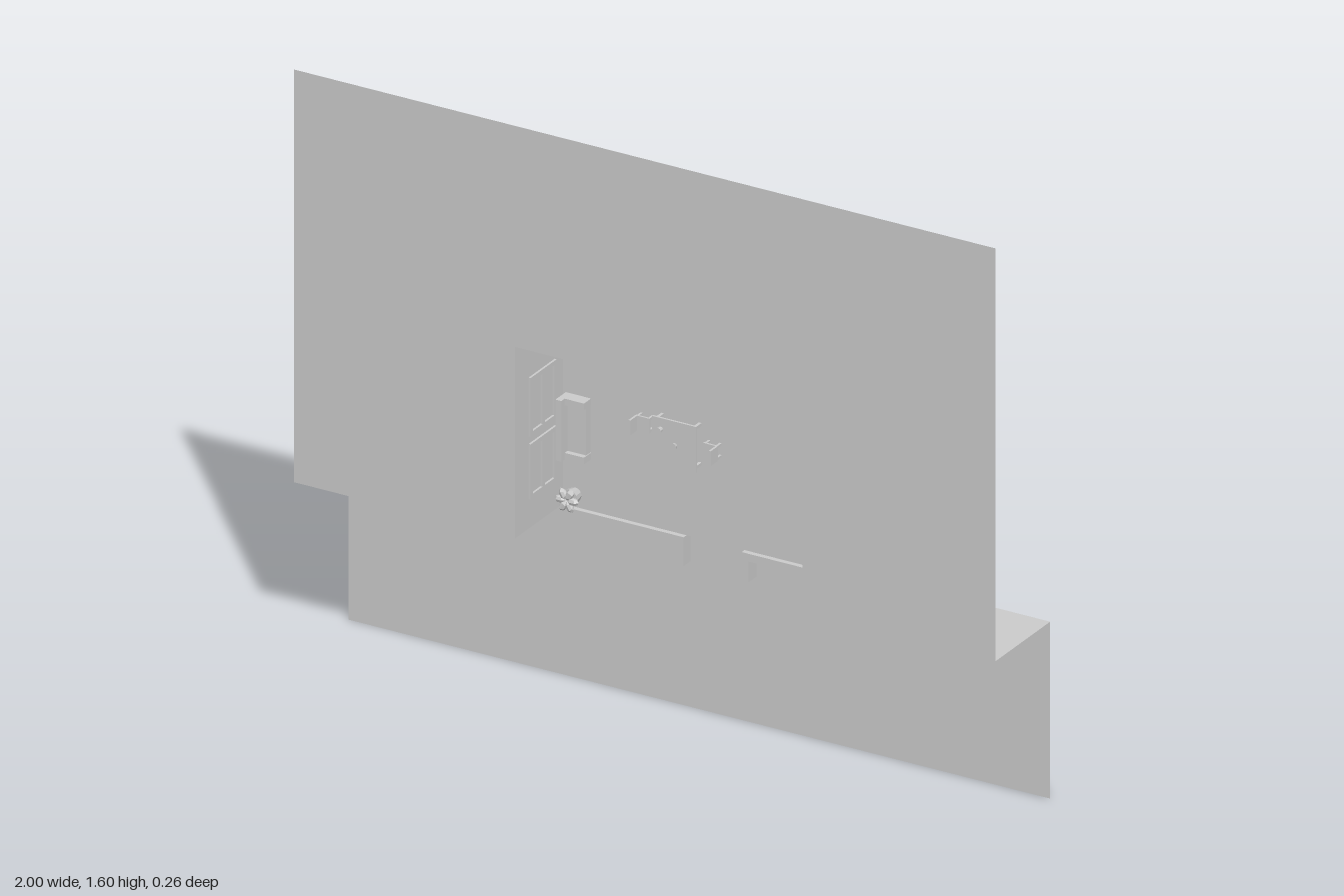
import * as THREE from 'three';

export function createModel() {
  const model = new THREE.Group();
  model.name = 'roomModel';
  const plaster = new THREE.MeshStandardMaterial({ color: 0xcccccc, side: THREE.DoubleSide, flatShading: true });
  plaster.name = 'lightGrey';

  const add = (name, geo, parent = model) => {
    const mesh = new THREE.Mesh(geo, plaster);
    mesh.name = name;
    parent.add(mesh);
    return mesh;
  };
  // box given by its limits on each axis
  const box = (name, x0, x1, y0, y1, z0, z1, parent) => {
    const geo = new THREE.BoxGeometry(x1 - x0, y1 - y0, z1 - z0);
    geo.translate((x0 + x1) / 2, (y0 + y1) / 2, (z0 + z1) / 2);
    return add(name, geo, parent);
  };
  const outline = pts => new THREE.Shape(pts.map(p => new THREE.Vector2(...p)));
  const sheet = (name, pts, z) => {
    const geo = new THREE.ShapeGeometry(outline(pts));
    geo.translate(0, 0, z);
    return add(name, geo);
  };
  // cylinder standing out of the floor along z
  const drum = (name, x, y, r0, r1, z0, z1, sides, parent) => {
    const geo = new THREE.CylinderGeometry(r1, r0, z1 - z0, sides);
    geo.rotateX(Math.PI / 2);
    geo.translate(x, y, (z0 + z1) / 2);
    return add(name, geo, parent);
  };

  const L = -0.37, R = 0.45, OL = -0.415, OR = 0.49, F = -0.1;

  // large sheets: upper one open around the room, lower one set back
  sheet('upperSheet', [[-1, 0.48], [L, 0.48], [L, 1], [R, 1], [R, 0.48], [1, 0.48], [1, 1.6], [-1, 1.6]], 0.131);
  sheet('lowerSheet', [[-1, 0], [1, 0], [1, 0.48], [-1, 0.48]], -0.131);
  for (const [x0, x1] of [[-1, OL], [OR, 1]]) {
    const geo = new THREE.PlaneGeometry(x1 - x0, 0.262);
    geo.rotateX(-Math.PI / 2);
    geo.translate((x0 + x1) / 2, 0.48, 0);
    add('ledge', geo);
  }

  // floor with a rippled edge beside the hump
  sheet('floorSheet', [[OL, 0.48], [OR, 0.48], [OR, 1.04], [0.37, 1.04], [0.345, 1.03], [0.32, 1.0],
    [0.295, 1.07], [0.27, 1.09], [0.245, 1.07], [0.213, 1.0], [0.19, 1.03], [0.17, 1.04], [OL, 1.04]], -0.107);
  box('floor', L, R, 0.48, 1, -0.106, F);
  box('doorFloor', -0.02, 0.145, 0.4, 0.48, -0.13, -0.122);

  // hump narrowing towards the front
  const hump = new THREE.ExtrudeGeometry(outline([[0.2, 1], [0.325, 1], [0.3, 1.07], [0.28, 1.09],
    [0.25, 1.085], [0.23, 1.06]]), { depth: 0.07, bevelEnabled: false });
  const p = hump.attributes.position;
  for (let i = 0; i < p.count; i++) {
    if (p.getZ(i) > 0.03) p.setXYZ(i, 0.265 + (p.getX(i) - 0.265) * 0.7, 1 + (p.getY(i) - 1) * 0.9, p.getZ(i));
  }
  hump.translate(0, 0, -0.106);
  hump.computeVertexNormals();
  add('hump', hump);

  // room walls, outer rim and its feet
  box('leftWall', L - 0.004, L, 0.48, 1, -0.106, 0.13);
  box('rightWall', R, R + 0.004, 0.48, 1, -0.106, 0.13);
  box('topWall', L, R, 1, 1.004, -0.106, 0.13);
  box('rimTop', OL, OR, 1.004, 1.04, 0.1, 0.13);
  box('rimLeft', OL, L - 0.004, 0.48, 1.004, 0.1, 0.13);
  box('rimRight', R + 0.004, OR, 0.48, 1.004, 0.1, 0.13);
  box('footLeft', OL, L - 0.004, 0.48, 0.497, -0.09, 0.1);
  box('footRight', R + 0.004, OR, 0.48, 0.497, -0.09, 0.1);

  // low curb turning down at both sides of the doorway
  box('curbLeft', OL, -0.02, 0.457, 0.478, -0.13, -0.09);
  box('curbRight', 0.145, OR, 0.457, 0.478, -0.13, -0.09);
  box('doorPostLeft', -0.037, -0.02, 0.4, 0.457, -0.13, -0.09);
  box('doorPostRight', 0.145, 0.164, 0.4, 0.457, -0.13, -0.09);

  // framed windows on both side walls
  for (const [wall, s] of [[L, 1], [R, -1]]) {
    for (const [y0, y1] of [[0.56, 0.71], [0.73, 0.89]]) {
      const g = new THREE.Group();
      g.name = 'window';
      model.add(g);
      const bar = (a, b, z0, z1) => box('windowBar', Math.min(wall, wall + s * 0.006),
        Math.max(wall, wall + s * 0.006), a, b, z0, z1, g);
      bar(y0, y0 + 0.012, -0.06, 0.065);
      bar(y1 - 0.012, y1, -0.06, 0.065);
      for (const z of [-0.06, -0.003, 0.054]) bar(y0 + 0.012, y1 - 0.012, z, z + 0.011);
    }
  }

  // table with two small things on it
  const table = new THREE.Group();
  table.name = 'table';
  model.add(table);
  box('tableTop', -0.095, 0.03, 0.675, 0.8, -0.07, -0.064, table);
  for (const x of [-0.09, 0.017]) for (const y of [0.68, 0.787])
    box('tableLeg', x, x + 0.008, y, y + 0.008, F, -0.07, table);
  drum('cup', -0.07, 0.77, 0.007, 0.009, -0.064, -0.05, 10, table);
  drum('bowl', -0.03, 0.735, 0.007, 0.01, -0.064, -0.054, 10, table);

  // chairs facing the table; s points to the chair back
  for (const [x, y, s] of [[-0.13, 0.763, -1], [0.063, 0.735, 1]]) {
    const g = new THREE.Group();
    g.name = 'chair';
    model.add(g);
    box('chairSeat', x - 0.02, x + 0.02, y - 0.02, y + 0.02, -0.082, -0.077, g);
    const b = x + s * 0.018;
    box('chairBack', b - 0.003, b + 0.003, y - 0.02, y + 0.02, -0.077, -0.045, g);
    for (const dx of [-0.016, 0.016]) for (const dy of [-0.016, 0.016])
      box('chairLeg', x + dx - 0.003, x + dx + 0.003, y + dy - 0.003, y + dy + 0.003, F, -0.082, g);
  }

  // sofa along the left wall
  const sofa = new THREE.Group();
  sofa.name = 'sofa';
  model.add(sofa);
  box('sofaSeat', -0.345, -0.292, 0.638, 0.767, F, -0.08, sofa);
  box('sofaBack', -0.362, -0.345, 0.62, 0.785, F, -0.05, sofa);
  for (const y of [0.62, 0.767]) box('sofaArm', -0.345, -0.29, y, y + 0.018, F, -0.066, sofa);

  // potted plant
  const plant = new THREE.Group();
  plant.name = 'plant';
  model.add(plant);
  drum('pot', -0.335, 0.515, 0.018, 0.024, F, -0.07, 12, plant);
  for (let i = 0; i < 6; i++) {
    const a = i * Math.PI / 3;
    const leaf = add('leaf', new THREE.SphereGeometry(0.017, 6, 4), plant);
    leaf.scale.set(1, 0.6, 0.6);
    leaf.rotation.z = a;
    leaf.position.set(-0.335 + 0.018 * Math.cos(a), 0.515 + 0.018 * Math.sin(a), -0.058);
  }

  // kitchen counter, sink and stove rings
  box('counter', -0.36, -0.245, 0.93, 0.985, F, -0.065);
  box('sideCounter', -0.24, -0.185, 0.945, 0.985, F, -0.07);
  box('sink', -0.345, -0.305, 0.945, 0.97, -0.065, -0.062);
  for (const x of [-0.285, -0.262]) for (const y of [0.945, 0.97]) drum('stoveRing', x, y, 0.009, 0.009, -0.065, -0.062, 12);
  drum('stool', -0.08, 0.97, 0.015, 0.015, F, -0.07, 16);

  // cabinet with ornaments, shelf on the top wall and the three right-hand units
  box('cabinet', -0.045, 0.11, 0.955, 0.998, F, -0.075);
  for (const x of [0.0, 0.03, 0.065]) box('ornament', x - 0.008, x + 0.008, 0.97, 0.985, -0.075, -0.062);
  box('wallShelf', 0.135, 0.18, 0.992, 1, -0.04, 0.02);
  for (const [y0, y1, z] of [[0.55, 0.625, -0.08], [0.645, 0.77, -0.075], [0.79, 0.865, -0.08]])
    box('cupboard', 0.36, 0.445, y0, y1, F, z);

  return model;
}
